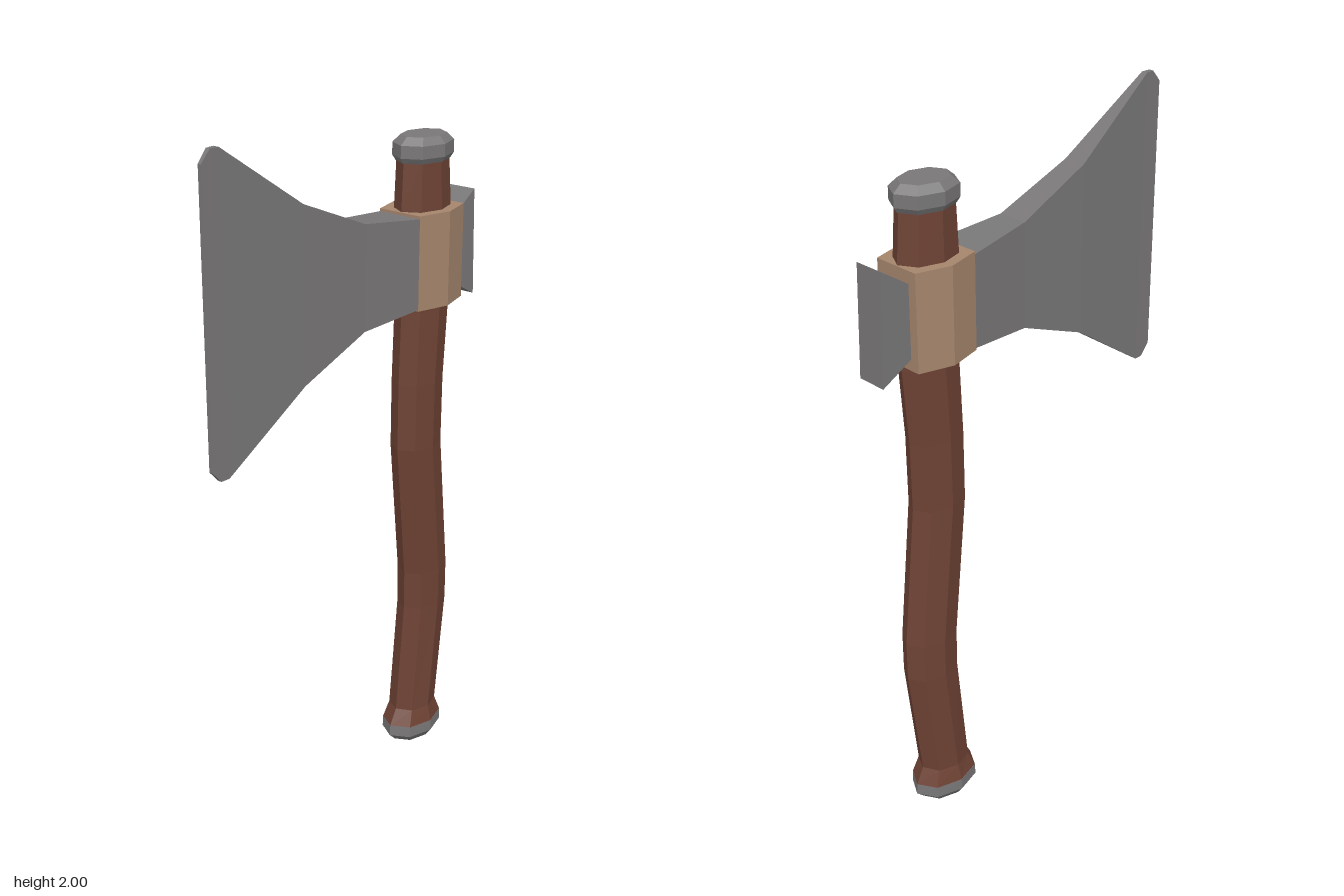
import * as THREE from 'three';

const steel = new THREE.MeshStandardMaterial({ color: 0x797777 });
const wood = new THREE.MeshStandardMaterial({ color: 0x6e4234 });
const leather = new THREE.MeshStandardMaterial({ color: 0xa6866d });
steel.name = 'steel';
wood.name = 'wood';
leather.name = 'leather';

// Joins equal-sized rings of points into a closed, flat-faced solid.
// Rings run counter-clockwise when looked at from the last ring's side.
function loft(name, rings, material) {
  const pos = [];
  const tri = (a, b, c) => pos.push(...a, ...b, ...c);
  const n = rings[0].length;
  for (let r = 0; r < rings.length - 1; r++) {
    const a = rings[r], b = rings[r + 1];
    for (let i = 0; i < n; i++) {
      const j = (i + 1) % n;
      tri(a[i], a[j], b[j]);
      tri(a[i], b[j], b[i]);
    }
  }
  const first = rings[0], last = rings[rings.length - 1];
  for (let i = 1; i < n - 1; i++) {
    tri(first[0], first[i + 1], first[i]);
    tri(last[0], last[i], last[i + 1]);
  }
  const geometry = new THREE.BufferGeometry();
  geometry.setAttribute('position', new THREE.Float32BufferAttribute(pos, 3));
  geometry.computeVertexNormals();
  const mesh = new THREE.Mesh(geometry, material);
  mesh.name = name;
  return mesh;
}

// Level octagon from [height, left x, right x, half depth]
const octagon = ([y, x0, x1, rz]) => Array.from({ length: 8 }, (_, i) => {
  const a = i * Math.PI / 4;
  return [(x0 + x1) / 2 + Math.cos(a) * (x1 - x0) / 2, y, -Math.sin(a) * rz];
});

// Upright rectangle from [x, bottom, top, half depth, optional x of top]
const upright = ([x, y0, y1, z, xTop = x]) =>
  [[x, y0, -z], [xTop, y1, -z], [xTop, y1, z], [x, y0, z]];

export function createModel() {
  const axe = new THREE.Group();
  axe.name = 'axe';

  // Curved handle, flared at the foot
  axe.add(loft('handle', [
    [0.06, 0.219, 0.432, 0.077],
    [0.11, 0.246, 0.407, 0.065],
    [0.46, 0.278, 0.449, 0.065],
    [0.58, 0.277, 0.449, 0.065],
    [1.0, 0.234, 0.406, 0.065],
    [1.2, 0.235, 0.408, 0.065],
    [1.42, 0.243, 0.424, 0.066],
    [1.71, 0.236, 0.424, 0.068],
    [1.85, 0.243, 0.413, 0.064],
  ].map(octagon), wood));

  // Metal caps at both ends
  axe.add(loft('footCap', [
    [0, 0.243, 0.408, 0.06],
    [0.025, 0.217, 0.434, 0.078],
    [0.06, 0.219, 0.432, 0.078],
  ].map(octagon), steel));
  axe.add(loft('topCap', [
    [1.84, 0.24, 0.417, 0.066],
    [1.855, 0.23, 0.427, 0.075],
    [1.89, 0.23, 0.427, 0.075],
    [1.91, 0.255, 0.403, 0.056],
  ].map(octagon), steel));

  // Six-sided collar around the handle
  const collarRing = (y) => [
    [0.428, y, 0.07], [0.428, y, -0.07], [0.33, y, -0.097],
    [0.23, y, -0.07], [0.23, y, 0.07], [0.33, y, 0.097],
  ];
  axe.add(loft('collar', [collarRing(1.438), collarRing(1.708)], leather));

  // Flaring blade, thinning towards the cutting edge
  axe.add(loft('blade', [
    [-0.525, 1.18, 1.967, 0.005],
    [-0.495, 1.147, 2, 0.007],
    [-0.468, 1.147, 2, 0.009],
    [-0.2, 1.33, 1.817, 0.033],
    [0.03, 1.424, 1.722, 0.044],
    [0.232, 1.443, 1.7, 0.07],
  ].map(upright), steel));

  // Hammer head behind the collar
  axe.add(loft('poll', [
    [0.415, 1.477, 1.665, 0.044],
    [0.522, 1.42, 1.73, 0.044, 0.513],
  ].map(upright), steel));

  return axe;
}
